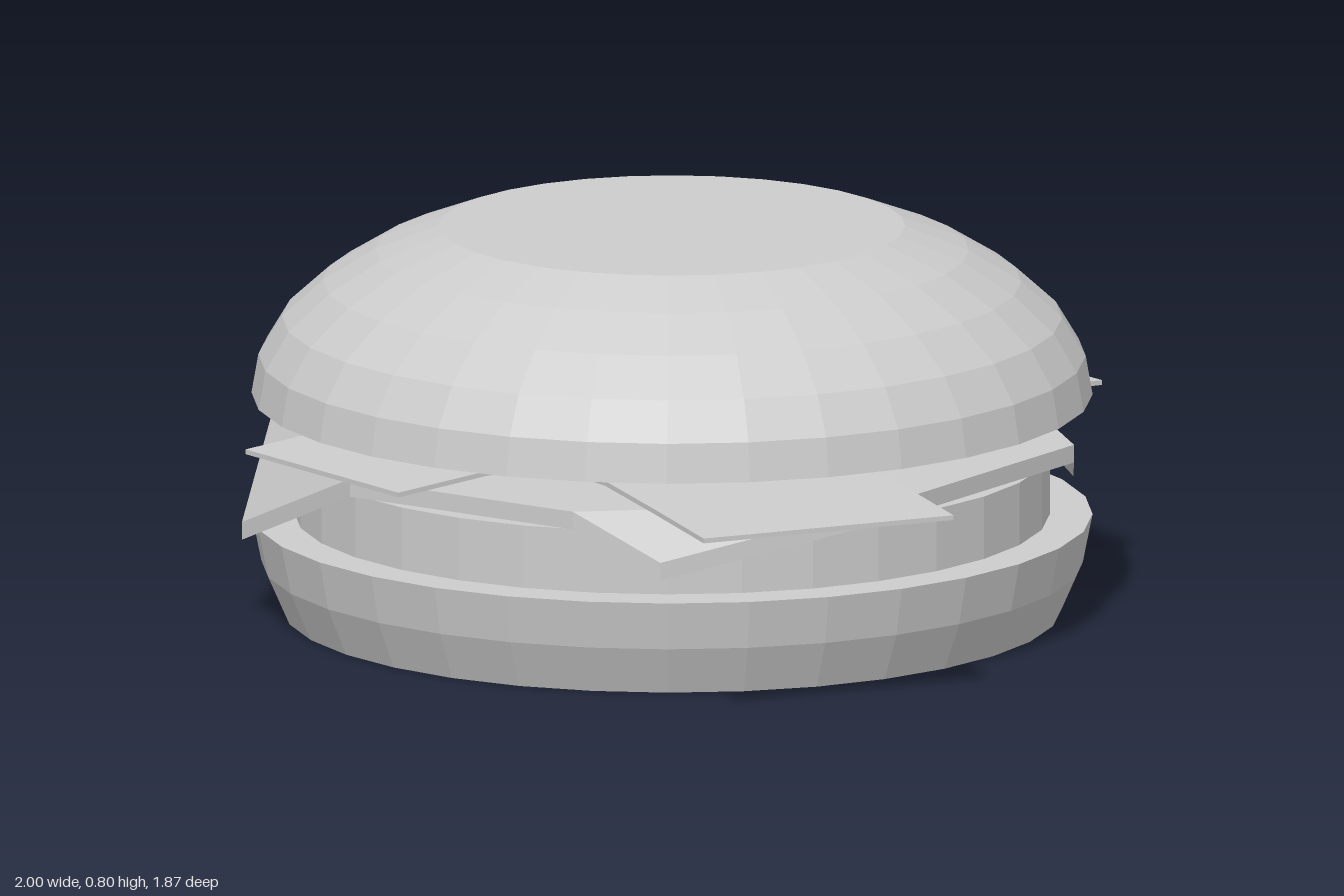
import * as THREE from 'three';

const grey = new THREE.MeshStandardMaterial({ color: 0xcccccc, flatShading: true });
grey.name = 'plain grey';

const CX = -0.017, CZ = -0.038, SIDES = 32;

function named(name, geometry) {
  const mesh = new THREE.Mesh(geometry, grey);
  mesh.name = name;
  return mesh;
}

// Round layer turned from [radius, height] points listed bottom to top
function round(name, profile) {
  const pts = profile.map(([r, y]) => new THREE.Vector2(r, y));
  const mesh = named(name, new THREE.LatheGeometry(pts, SIDES));
  mesh.position.set(CX, 0, CZ);
  return mesh;
}

// Cheese slice: a flat octagon with four folded-down corner flaps.
// Points run counter-clockwise seen from above; every third one is a corner tip.
function cheese() {
  const ring = [
    [-0.28, 0.38, 0.74], [0.27, 0.38, 0.74], [0.435, 0.28, 0.665],
    [0.755, 0.38, 0.31], [0.755, 0.38, -0.36], [0.61, 0.295, -0.57],
    [0.27, 0.38, -0.80], [-0.28, 0.38, -0.80], [-0.60, 0.26, -0.60],
    [-0.79, 0.38, -0.36], [-0.79, 0.38, 0.27], [-0.68, 0.205, 0.545],
  ];
  const n = ring.length, pos = [], index = [];
  for (const drop of [0, 0.037]) for (const [x, y, z] of ring) pos.push(x, y - drop, z);
  const face = (a, b, c) => index.push(a, b, c, a + n, c + n, b + n);
  const flat = [0, 1, 3, 4, 6, 7, 9, 10];
  for (let i = 1; i < 7; i++) face(flat[0], flat[i], flat[i + 1]);
  for (let tip = 2; tip < n; tip += 3) face(tip - 1, tip, (tip + 1) % n);
  for (let i = 0; i < n; i++) {
    const j = (i + 1) % n;
    index.push(i, i + n, j + n, i, j + n, j);
  }
  const g = new THREE.BufferGeometry();
  g.setAttribute('position', new THREE.Float32BufferAttribute(pos, 3));
  g.setIndex(index);
  g.computeVertexNormals();
  return named('cheeseSlice', g);
}

// Thin wavy strip: heights are spaced evenly along its length
function strip(name, length, width, heights, x, z, angle) {
  const steps = heights.length - 1;
  const g = new THREE.BoxGeometry(length, 0.01, width, steps, 1, 1);
  const p = g.attributes.position;
  for (let i = 0; i < p.count; i++) {
    const k = Math.round((p.getX(i) / length + 0.5) * steps);
    p.setY(i, p.getY(i) + heights[k]);
  }
  g.computeVertexNormals();
  const mesh = named(name, g);
  mesh.position.set(x, 0, z);
  mesh.rotation.y = angle;
  return mesh;
}

export function createModel() {
  const burger = new THREE.Group();
  burger.name = 'burger';
  burger.add(
    round('bottomBun', [[0, 0], [0.793, 0], [0.837, 0.1], [0.857, 0.2], [0, 0.2]]),
    round('patty', [[0, 0.19], [0.77, 0.19], [0.77, 0.33], [0, 0.33]]),
    cheese(),
    // Two crossing strips
    strip('lowerStrip', 2.01, 0.555, [0.402, 0.41, 0.425, 0.41, 0.4, 0.405, 0.42, 0.412, 0.402],
      0, 0.13, -Math.atan2(1.07, 1.7)),
    strip('upperStrip', 1.80, 0.515, [0.407, 0.417, 0.425, 0.43, 0.425, 0.415, 0.425, 0.427, 0.412],
      0.01, -0.005, -Math.atan2(1.71, -0.57)),
    round('topBun', [[0, 0.45], [0.857, 0.45], [0.843, 0.53], [0.795, 0.61],
      [0.712, 0.685], [0.605, 0.75], [0.475, 0.80], [0, 0.80]]),
  );
  return burger;
}
